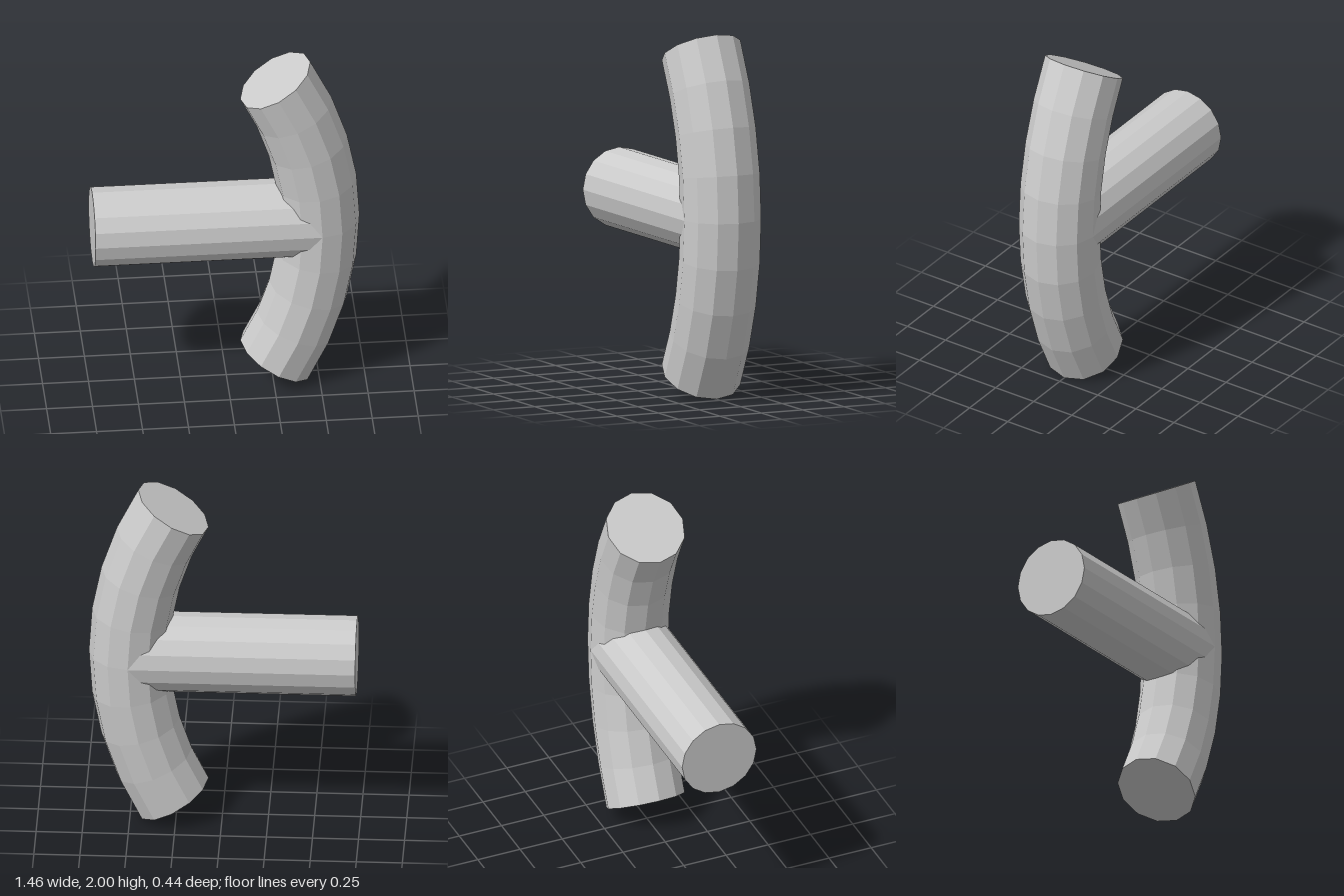
import * as THREE from 'three';

export function createModel() {
  const group = new THREE.Group();
  const material = new THREE.MeshStandardMaterial({ color: 0xcccccc, flatShading: true });
  const r = 0.22;            // thickness shared by both bars
  const bend = 1.78;         // bend radius of the curved bar
  const half = Math.PI / 6;  // half of its sweep
  const centreX = 0.505 - bend;

  const add = (name, geometry) => {
    const mesh = new THREE.Mesh(geometry, material);
    mesh.name = name;
    group.add(mesh);
  };

  // Curved upright bar, bowed towards +x
  add('curvedBar', new THREE.TorusGeometry(bend, r, 12, 8, half * 2)
    .rotateZ(-half).translate(centreX, 1, 0));

  // Flat caps on its upper and lower ends
  for (const side of [1, -1]) {
    add(side > 0 ? 'upperCap' : 'lowerCap', new THREE.CircleGeometry(r, 12)
      .rotateX(-side * Math.PI / 2)
      .translate(bend, 0, 0)
      .rotateZ(side * half)
      .translate(centreX, 1, 0));
  }

  // Straight handle running into the middle of the curve
  const left = -0.73, right = 0.505;
  add('handle', new THREE.CylinderGeometry(r, r, right - left, 16)
    .rotateZ(Math.PI / 2).translate((left + right) / 2, 1, 0));

  return group;
}
